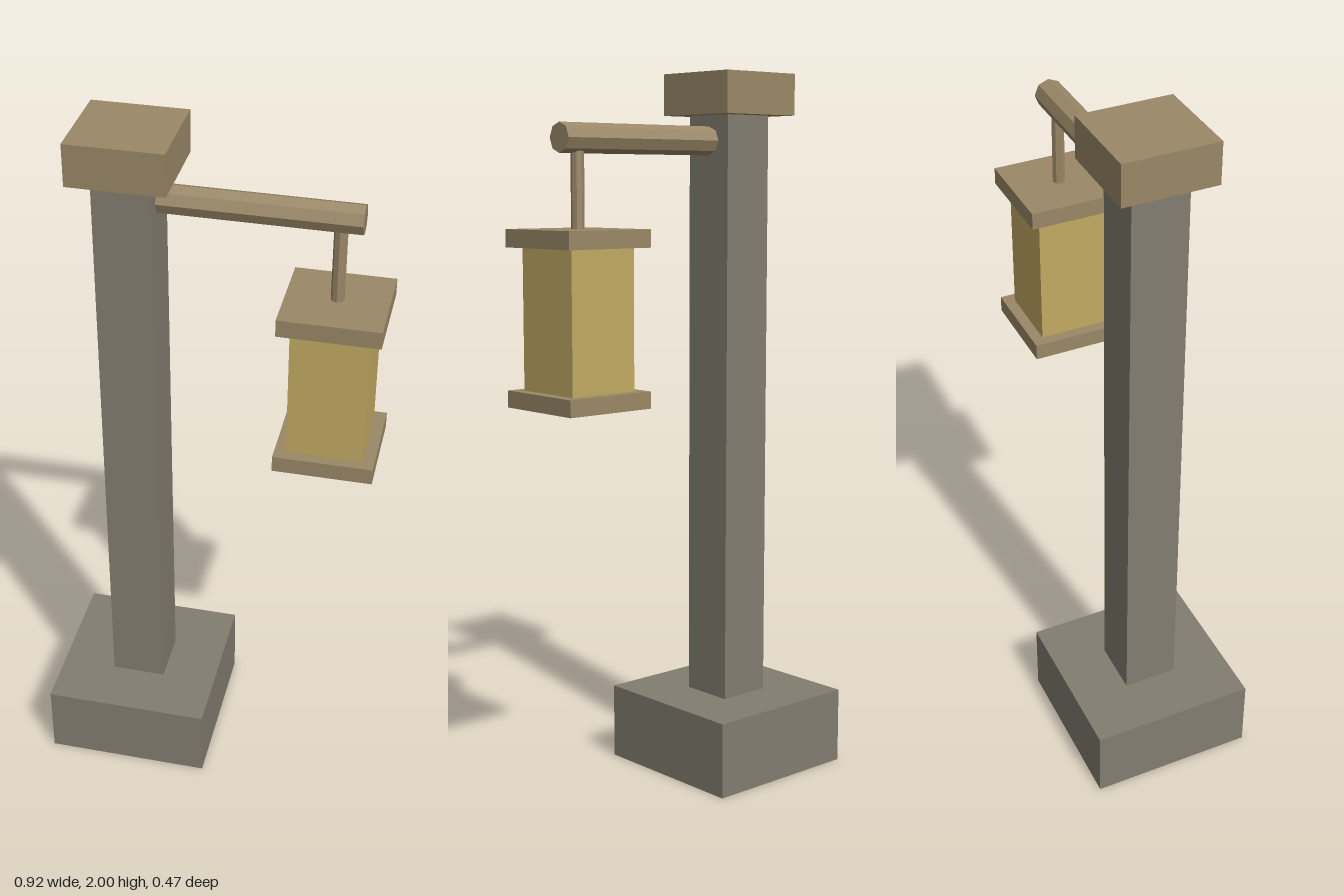
import * as THREE from 'three';

const mat = (name, color) => {
  const m = new THREE.MeshStandardMaterial({ color, flatShading: true });
  m.name = name;
  return m;
};

export function createModel() {
  const stone = mat('stone', 0x827d70);
  const wood = mat('wood', 0x9a8867);
  const glow = mat('lamp glow', 0xc2aa62);

  const model = new THREE.Group();
  model.name = 'lanternPost';

  const add = (parent, name, geometry, material, x, y) => {
    const mesh = new THREE.Mesh(geometry, material);
    mesh.name = name;
    mesh.position.set(x, y, 0);
    parent.add(mesh);
    return mesh;
  };

  // Square block between two heights
  const block = (parent, name, material, x, width, y0, y1) =>
    add(parent, name, new THREE.BoxGeometry(width, y1 - y0, width), material, x, (y0 + y1) / 2);

  // Post on its plinth, with a cap
  const postX = -0.224;
  block(model, 'base', stone, postX, 0.472, 0, 0.215);
  block(model, 'post', stone, postX, 0.156, 0.215, 1.885);
  block(model, 'cap', wood, postX, 0.26, 1.885, 2);

  // Octagonal arm, its inner end set into the post
  const armStart = -0.16, armEnd = 0.38;
  const armGeometry = new THREE.CylinderGeometry(0.04, 0.04, armEnd - armStart, 8).rotateZ(Math.PI / 2);
  add(model, 'arm', armGeometry, wood, (armStart + armEnd) / 2, 1.814);

  // Hanging lantern
  const lantern = new THREE.Group();
  lantern.name = 'lantern';
  lantern.position.x = 0.321;
  model.add(lantern);
  add(lantern, 'hanger', new THREE.CylinderGeometry(0.018, 0.018, 0.22, 8), wood, 0, 1.685);
  block(lantern, 'lanternTop', wood, 0, 0.271, 1.53, 1.578);
  block(lantern, 'lanternGlass', glow, 0, 0.208, 1.15, 1.53);
  block(lantern, 'lanternBottom', wood, 0, 0.271, 1.104, 1.15);

  return model;
}
